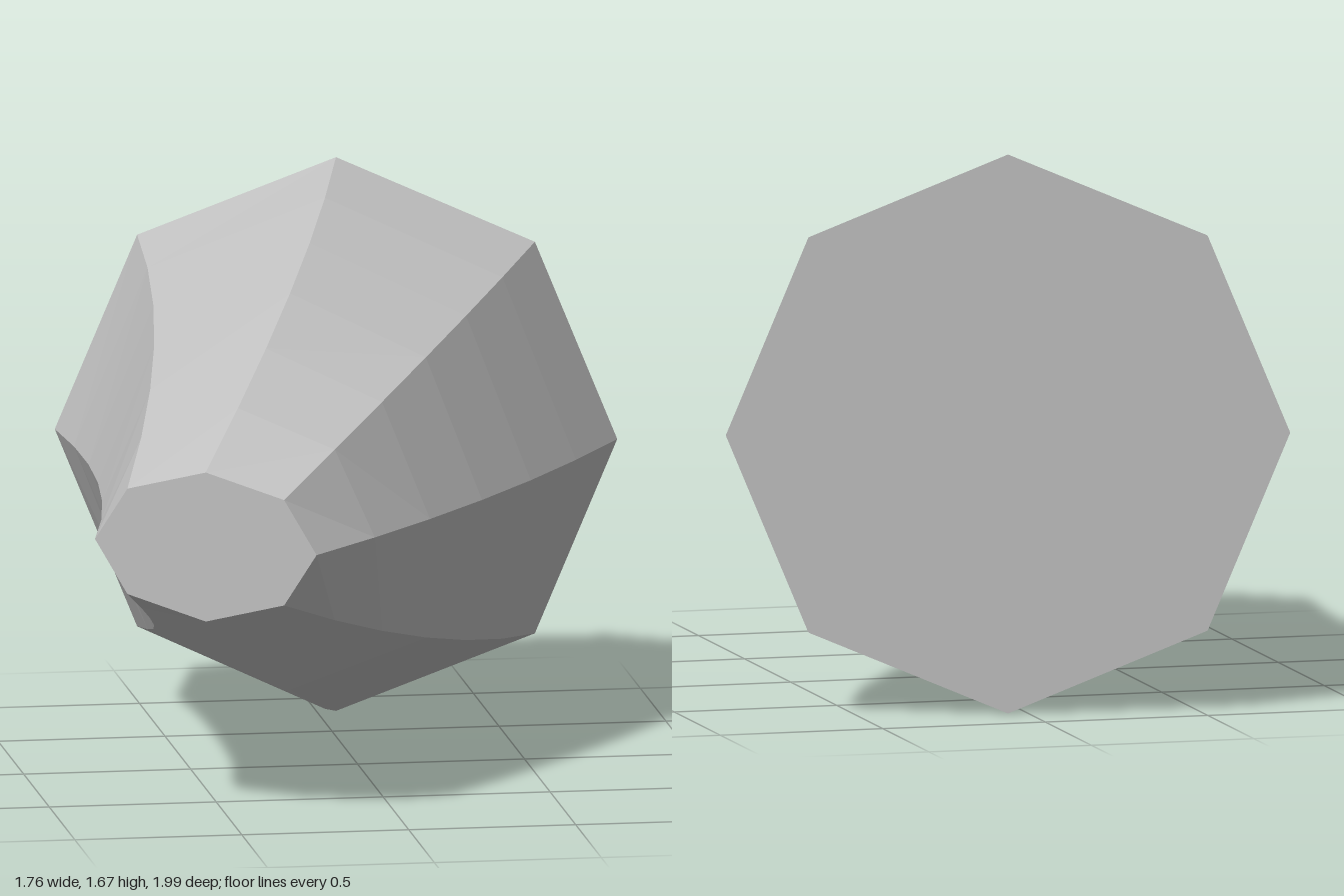
import * as THREE from 'three';

const SIDES = 8;
const STEPS = 6;
const START = 0.242; // bend angle at the wide end
const END = 0.508; // bend angle at the narrow end
const ARC = 1.749; // length of the spine

// Centre of a cross-section on the circular spine, t from wide end to narrow end
function spine(t) {
  const R = ARC / (END - START);
  const a = START + (END - START) * t;
  return {
    angle: a,
    x: 0.058 + R * (Math.cos(a) - Math.cos(START)),
    z: -0.8 + R * (Math.sin(a) - Math.sin(START)),
  };
}

// Octagonal cross-section, round at the wide end and flattened at the narrow end
function section(t) {
  const c = spine(t);
  const bulge = t * (1 - t);
  const rx = THREE.MathUtils.lerp(0.836, 0.35, t) - 0.04 * bulge;
  const ry = THREE.MathUtils.lerp(0.836, 0.225, t) + 0.27 * bulge;
  return Array.from({ length: SIDES }, (_, j) => {
    const a = (j / SIDES) * Math.PI * 2;
    const u = rx * Math.cos(a);
    return [c.x + u * Math.cos(c.angle), 0.838 + ry * Math.sin(a), c.z + u * Math.sin(c.angle)];
  });
}

function flatMesh(name, triangles, material) {
  const geometry = new THREE.BufferGeometry();
  geometry.setAttribute('position', new THREE.Float32BufferAttribute(triangles.flat(2), 3));
  geometry.computeVertexNormals();
  const mesh = new THREE.Mesh(geometry, material);
  mesh.name = name;
  return mesh;
}

export function createModel() {
  const group = new THREE.Group();
  group.name = 'curvedTaper';
  const grey = new THREE.MeshStandardMaterial({ color: 0xc0c0c0, flatShading: true });
  grey.name = 'light grey';

  const rings = Array.from({ length: STEPS + 1 }, (_, i) => section(i / STEPS));

  // Tapered, bent wall
  const wall = [];
  for (let i = 0; i < STEPS; i++) {
    for (let j = 0; j < SIDES; j++) {
      const k = (j + 1) % SIDES;
      const a = rings[i], b = rings[i + 1];
      wall.push([a[j], a[k], b[k]], [a[j], b[k], b[j]]);
    }
  }
  group.add(flatMesh('taperedWall', wall, grey));

  // Flat end caps
  const front = [], back = [];
  for (let j = 1; j < SIDES - 1; j++) {
    const f = rings[STEPS], b = rings[0];
    front.push([f[0], f[j], f[j + 1]]);
    back.push([b[0], b[j + 1], b[j]]);
  }
  group.add(flatMesh('narrowEndCap', front, grey), flatMesh('wideEndCap', back, grey));

  return group;
}
